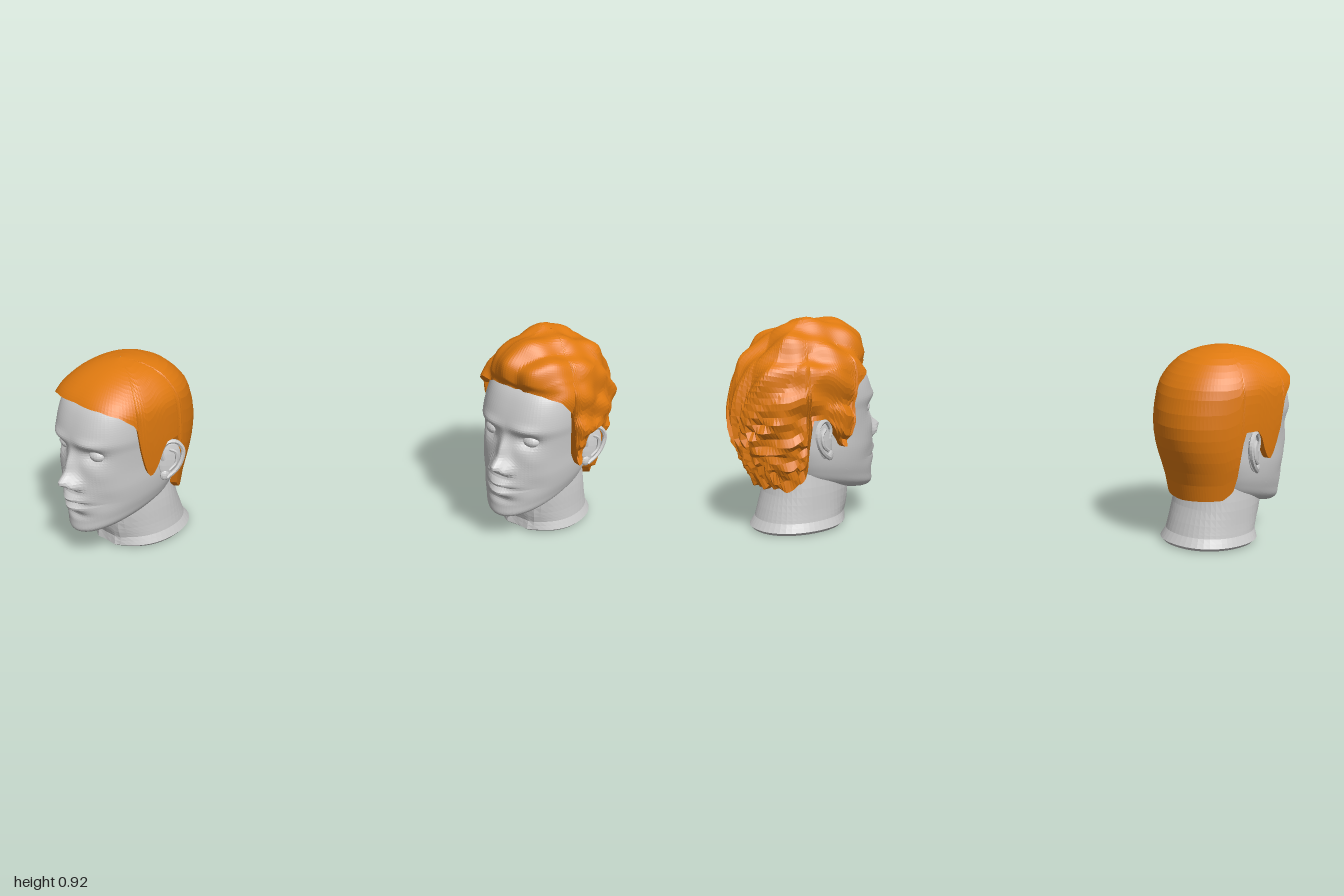
import * as THREE from 'three';

const skin = new THREE.MeshStandardMaterial({ color: 0xcccccc, flatShading: true, side: THREE.DoubleSide });
const orange = new THREE.MeshStandardMaterial({ color: 0xe07a10, flatShading: true, side: THREE.DoubleSide });

// Horizontal sections: [y, front z, back z, half width, squareness, rise towards the back]
const SKULL = [
  [0.13, 0.622, 0.618, 0.002, 2, 0.25],
  [0.122, 0.86, 0.54, 0.09, 2, 0.25],
  [0.13, 0.91, 0.50, 0.135, 2, 0.25],
  [0.155, 0.938, 0.46, 0.162, 2, 0.25],
  [0.195, 0.938, 0.43, 0.178, 2, 0.23],
  [0.25, 0.938, 0.41, 0.19, 2.1, 0.18],
  [0.33, 0.938, 0.37, 0.198, 2.2, 0.1],
  [0.42, 0.925, 0.335, 0.2, 2.35, 0.04],
  [0.51, 0.915, 0.325, 0.205, 2.6, 0],
  [0.57, 0.92, 0.325, 0.211, 2.7, 0],
  [0.65, 0.895, 0.36, 0.208, 2.7, 0],
  [0.71, 0.86, 0.40, 0.195, 2.6, 0],
  [0.76, 0.80, 0.46, 0.16, 2.4, 0],
  [0.80, 0.71, 0.54, 0.08, 2.1, 0],
  [0.815, 0.622, 0.618, 0.002, 2, 0],
];
const NECK = [
  [0, 0.572, 0.568, 0.002, 2, 0],
  [0, 0.757, 0.37, 0.178, 2.1, 0],
  [0.05, 0.77, 0.385, 0.175, 2.1, 0],
  [0.1, 0.785, 0.402, 0.171, 2.1, 0],
  [0.2, 0.80, 0.435, 0.166, 2.1, 0],
  [0.34, 0.78, 0.45, 0.15, 2.1, 0],
];
const SMOOTH_HAIR = [
  [0.18, 0.80, 0.40, 0.182, 2.4, 0],
  [0.29, 0.85, 0.377, 0.205, 2.5, 0],
  [0.38, 0.88, 0.34, 0.222, 2.7, 0],
  [0.465, 0.90, 0.312, 0.23, 2.9, 0],
  [0.555, 0.92, 0.306, 0.235, 3, 0],
  [0.66, 0.91, 0.33, 0.235, 3, 0],
  [0.71, 0.887, 0.358, 0.222, 2.9, 0],
  [0.75, 0.852, 0.392, 0.197, 2.7, 0],
  [0.79, 0.79, 0.44, 0.156, 2.4, 0],
  [0.82, 0.71, 0.52, 0.09, 2.2, 0],
  [0.835, 0.622, 0.618, 0.002, 2, 0],
];
const SWEPT_HAIR = [
  [0.18, 0.80, 0.40, 0.186, 2.4, 0],
  [0.30, 0.85, 0.335, 0.212, 2.4, 0],
  [0.40, 0.88, 0.295, 0.23, 2.6, 0],
  [0.53, 0.90, 0.28, 0.243, 2.7, 0],
  [0.64, 0.895, 0.30, 0.247, 2.7, 0],
  [0.715, 0.868, 0.34, 0.235, 2.6, 0],
  [0.76, 0.885, 0.375, 0.212, 2.5, 0],
  [0.82, 0.88, 0.43, 0.172, 2.4, 0],
  [0.86, 0.835, 0.485, 0.13, 2.3, 0],
  [0.89, 0.755, 0.54, 0.08, 2.1, 0],
  [0.905, 0.622, 0.618, 0.002, 2, 0],
];
// Hairline: [angle from the front, height], with sideburn and ear notch
const HAIRLINE = [
  [0, 0.722], [0.5, 0.715], [0.8, 0.69], [1.04, 0.635], [1.09, 0.52], [1.18, 0.41], [1.25, 0.378],
  [1.33, 0.38], [1.45, 0.42], [1.57, 0.48], [1.68, 0.51], [1.95, 0.51], [2.0, 0.45], [2.03, 0.33],
  [2.1, 0.25], [2.3, 0.215], [3.15, 0.2],
];

const bell = (v, centre, width) => Math.exp(-(((v - centre) / width) ** 2));

function hairlineAt(angle) {
  const a = Math.abs(angle);
  const i = Math.max(1, HAIRLINE.findIndex(([t]) => t >= a));
  const [a0, y0] = HAIRLINE[i - 1], [a1, y1] = HAIRLINE[i];
  return y0 + ((y1 - y0) * (a - a0)) / (a1 - a0);
}

// Smooth (Catmull-Rom) blend of the section table
function section(table, u) {
  const last = table.length - 1, i = Math.min(last - 1, Math.floor(u)), t = u - i;
  const [a, b, c, d] = [i - 1, i, i + 1, i + 2].map((k) => table[Math.min(last, Math.max(0, k))]);
  return b.map((_, k) => b[k] + 0.5 * t * (c[k] - a[k] +
    t * (2 * a[k] - 5 * b[k] + 4 * c[k] - d[k] + t * (3 * (b[k] - c[k]) + d[k] - a[k]))));
}

function pointOn(table, u, angle, zc) {
  const [y, zf, zb, w, n, rise] = section(table, u);
  const s = Math.sin(angle), c = Math.cos(angle);
  const depth = Math.max(0.001, c > 0 ? zf - zc : zc - zb), power = c > 0 ? n : 2.2;
  const r = (Math.abs(s / Math.max(0.001, w)) ** power + Math.abs(c / depth) ** power) ** (-1 / power);
  const z = zc + r * c;
  return new THREE.Vector3(r * s, y + rise * (0.9 - z), z);
}

// Skin a grid of rows (upwards) and columns (round from the back, via the front)
function grid(rows, cols, pointAt) {
  const pos = [], index = [];
  for (let i = 0; i <= rows; i++)
    for (let j = 0; j <= cols; j++) {
      pos.push(...pointAt(i, j).toArray());
      if (i < rows && j < cols) {
        const a = i * (cols + 1) + j, c = a + cols + 1;
        index.push(a, a + 1, c, a + 1, c + 1, c);
      }
    }
  const geo = new THREE.BufferGeometry();
  geo.setAttribute('position', new THREE.Float32BufferAttribute(pos, 3));
  geo.setIndex(index);
  geo.computeVertexNormals();
  return geo;
}

function loft(table, zc, perLevel, cols, bunching, shape) {
  return grid((table.length - 1) * perLevel, cols, (i, j) => {
    const t = (2 * j) / cols - 1;
    const angle = Math.PI * Math.sign(t) * Math.abs(t) ** bunching;
    return shape(pointOn(table, i / perLevel, angle, zc));
  });
}

// Nose, lips, brow, eye sockets and cheeks
function sculptFace(p) {
  if (p.z < 0.72) return p;
  const x = Math.abs(p.x), y = p.y;
  const under = THREE.MathUtils.smoothstep(y, 0.325, 0.365);
  const noseWidth = 0.024 + 0.014 * bell(y, 0.37, 0.06);
  let d = under * bell(x, 0, noseWidth) * (0.032 * bell(y, 0.45, 0.06) + 0.061 * bell(y, 0.388, 0.032));
  d += under * 0.026 * bell(x, 0.04, 0.018) * bell(y, 0.366, 0.024);
  d += 0.028 * bell(x, 0, 0.055) * bell(y, 0.302, 0.02) + 0.024 * bell(x, 0, 0.05) * bell(y, 0.258, 0.018);
  d -= 0.014 * bell(x, 0, 0.075) * bell(y, 0.28, 0.007);
  d -= 0.012 * bell(x, 0, 0.06) * bell(y, 0.222, 0.018);
  d += 0.01 * bell(x, 0.09, 0.06) * bell(y, 0.562, 0.022);
  d -= 0.032 * bell(x, 0.095, 0.042) * bell(y, 0.505, 0.03);
  d += 0.008 * bell(x, 0.13, 0.04) * bell(y, 0.42, 0.04) - 0.01 * bell(x, 0.13, 0.04) * bell(y, 0.29, 0.05);
  p.z += d;
  return p;
}

// Slanting muscles at the sides of the throat
function sculptNeck(p) {
  if (p.z > 0.6) p.z += 0.01 * bell(Math.abs(p.x), 0.05 + 0.35 * p.y, 0.025);
  return p;
}

// Locks swept from the forehead to the nape
function sweepLocks(p) {
  const s = Math.atan2(p.x, p.y - 0.36);
  const wave = Math.acos(Math.cos(12 * s + 2.5 * Math.sin(7 * p.z))) / Math.PI - 0.5;
  const d = 0.024 * wave + 0.008 * Math.cos(23 * s + 24 * p.z) + 0.005 * Math.sin(45 * p.z + 5 * p.y);
  const out = new THREE.Vector3(p.x, p.y - 0.5, p.z - 0.62).normalize();
  return p.addScaledVector(out, d);
}

// Hair shell from the hairline to the crown, with a turned-in rim
function hairGeometry(table, rows, cols, shape) {
  const top = table.length - 1;
  return grid(rows, cols, (i, j) => {
    const angle = Math.PI * ((2 * j) / cols - 1), edge = hairlineAt(angle);
    let lo = 0, hi = top;
    for (let k = 0; k < 24; k++) {
      const mid = (lo + hi) / 2;
      if (section(table, mid)[0] < edge) lo = mid; else hi = mid;
    }
    const p = shape(pointOn(table, lo + ((top - lo) * Math.max(0, i - 1)) / (rows - 1), angle, 0.62));
    if (i === 0) { p.x *= 0.86; p.z = 0.62 + (p.z - 0.62) * 0.86; }
    return p;
  });
}

function add(parent, name, geometry, material = skin) {
  const mesh = new THREE.Mesh(geometry, material);
  mesh.name = name;
  parent.add(mesh);
  return mesh;
}

function makeEar(side) {
  const ear = new THREE.Group();
  ear.name = side > 0 ? 'leftEar' : 'rightEar';
  const pivot = new THREE.Group();
  pivot.position.set(0.222, 0.415, 0.583);
  pivot.rotation.set(-0.2, -0.38, 0);
  const tube = (pts, r) => new THREE.TubeGeometry(
    new THREE.CatmullRomCurve3(pts.map(([z, y, x]) => new THREE.Vector3(x, y, z))), 24, r, 6);
  add(pivot, 'earBowl', new THREE.SphereGeometry(1, 16, 10)).scale.set(0.012, 0.082, 0.05);
  add(pivot, 'earRim', tube([[0.03, 0.0, 0.006], [0.046, 0.04, 0.01], [0.025, 0.08, 0.012], [-0.015, 0.084, 0.014],
    [-0.05, 0.05, 0.014], [-0.05, 0, 0.012], [-0.03, -0.045, 0.01], [0.005, -0.08, 0.006]], 0.01));
  add(pivot, 'innerFold', tube([[0.01, 0.05, 0.012], [-0.02, 0.035, 0.014], [-0.026, -0.01, 0.014], [0, -0.045, 0.012]], 0.008));
  const lobe = add(pivot, 'earLobe', new THREE.SphereGeometry(1, 10, 8));
  lobe.scale.set(0.012, 0.024, 0.022);
  lobe.position.set(0.002, -0.07, 0.014);
  ear.add(pivot);
  ear.scale.x = side;
  return ear;
}

function makeEye(side) {
  const eye = new THREE.Group();
  eye.name = side > 0 ? 'leftEye' : 'rightEye';
  add(eye, 'eyeball', new THREE.SphereGeometry(0.027, 16, 12));
  add(eye, 'upperLid', new THREE.SphereGeometry(0.03, 16, 6, 0, Math.PI * 2, 0, Math.PI * 0.42)).rotation.x = 0.15;
  eye.position.set(side * 0.097, 0.503, 0.862);
  eye.rotation.y = side * 0.3;
  eye.scale.x = 1.35;
  return eye;
}

function makeBust(name, hair) {
  const bust = new THREE.Group();
  bust.name = name;
  add(bust, 'head', loft(SKULL, 0.62, 8, 96, 1.4, sculptFace));
  add(bust, 'neck', loft(NECK, 0.57, 3, 48, 1, sculptNeck));
  for (const side of [1, -1]) bust.add(makeEar(side), makeEye(side));
  add(bust, 'hair', hair, orange);
  return bust;
}

export function createModel() {
  const model = new THREE.Group();
  const smooth = makeBust('smoothHairedBust', hairGeometry(SMOOTH_HAIR, 18, 120, (p) => p));
  smooth.position.set(-0.637, 0, 0);
  const swept = makeBust('sweptHairedBust', hairGeometry(SWEPT_HAIR, 40, 140, sweepLocks));
  swept.position.set(0.637, 0, -1.275);
  model.add(smooth, swept);
  return model;
}
